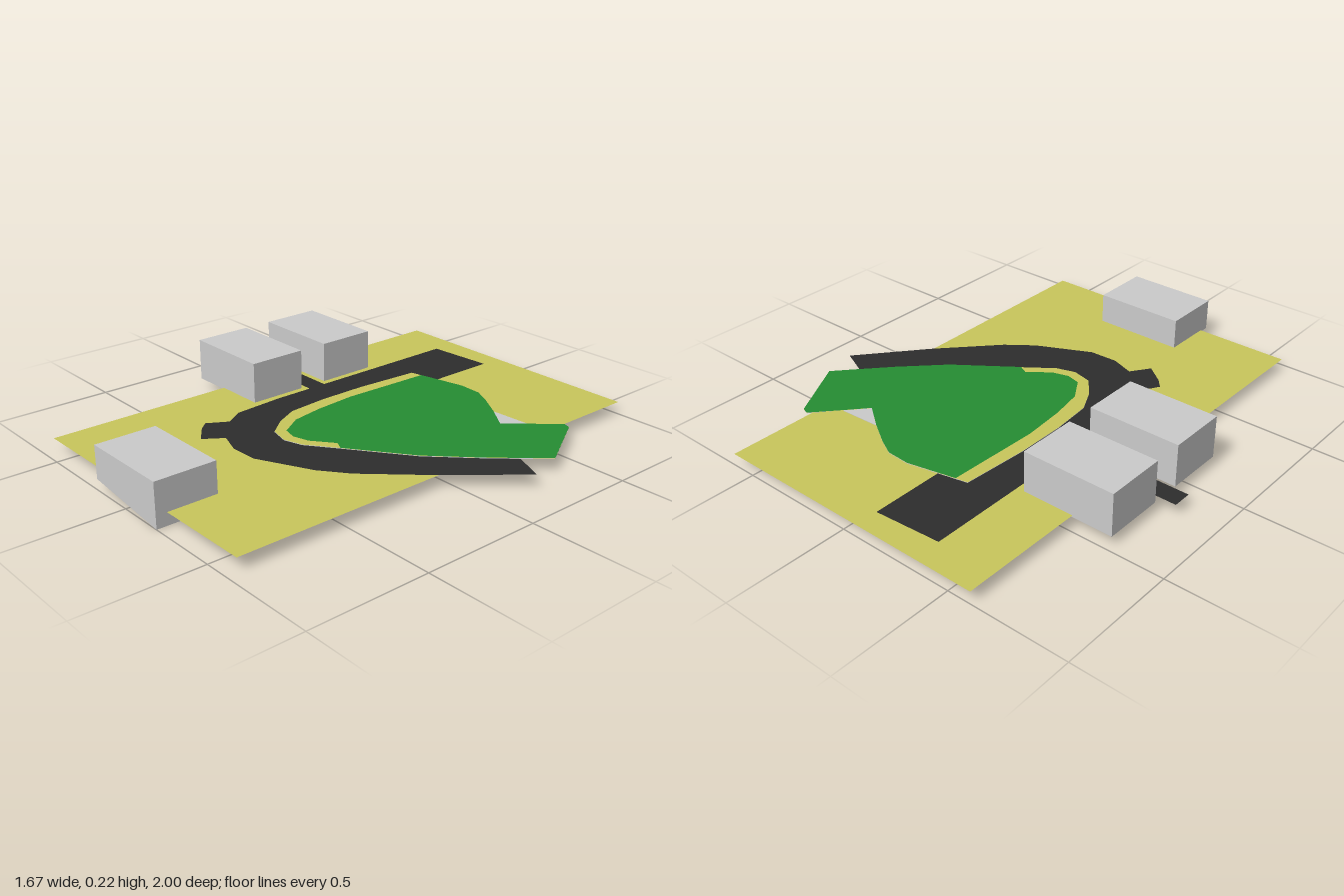
import * as THREE from 'three';

const mat = (color, side = THREE.FrontSide) =>
  new THREE.MeshStandardMaterial({ color, side, flatShading: true });

// Plan outlines are lists of [x, z]; they are laid flat facing up.
function planShape(points) {
  return new THREE.Shape(points.map(([x, z]) => new THREE.Vector2(x, -z)));
}

function addSheet(group, name, points, y, color) {
  const geometry = new THREE.ShapeGeometry(planShape(points)).rotateX(-Math.PI / 2);
  const mesh = new THREE.Mesh(geometry, mat(color, THREE.DoubleSide));
  mesh.name = name;
  mesh.position.y = y;
  group.add(mesh);
}

const rect = (x0, x1, z0, z1) => [[x0, z0], [x0, z1], [x1, z1], [x1, z0]];

// Block with a base that may slope from left end to right end.
function addBlock(group, name, x0, x1, z0, z1, baseA, baseB, top) {
  const side = new THREE.Shape([
    new THREE.Vector2(x0, baseA), new THREE.Vector2(x1, baseB),
    new THREE.Vector2(x1, top), new THREE.Vector2(x0, top),
  ]);
  const geometry = new THREE.ExtrudeGeometry(side, { depth: z1 - z0, bevelEnabled: false });
  const mesh = new THREE.Mesh(geometry, mat(0xcccccc));
  mesh.name = name;
  mesh.position.z = z0;
  group.add(mesh);
}

export function createModel() {
  const group = new THREE.Group();
  group.name = 'fieldWithBuildings';

  // Ground
  addSheet(group, 'ground', rect(-0.6, 0.6, -1, 0.955), 0.052, 0xc9c75c);

  // Road around the field and the side path
  addSheet(group, 'road', [
    [-0.35, -0.885], [-0.35, 0.05], [-0.335, 0.265], [-0.285, 0.345], [-0.335, 0.43],
    [-0.3, 0.47], [-0.22, 0.53], [-0.165, 0.45], [-0.065, 0.485], [0.055, 0.48],
    [0.28, 0.37], [0.39, 0.285], [0.605, 0.055], [0.83, -0.215], [0.705, -0.27],
    [0.6, -0.16], [0.44, 0], [0.2, 0.17], [0.08, 0.26], [0, 0.285], [-0.08, 0.265],
    [-0.14, 0.19], [-0.19, 0.09], [-0.205, -0.08], [-0.205, -0.29], [-0.185, -0.56],
    [-0.07, -0.59], [-0.07, -0.905],
  ], 0.0535, 0x2d2d2d);
  addSheet(group, 'sidePath', rect(-0.84, -0.35, -0.2, -0.12), 0.0535, 0x2d2d2d);

  // Shared stretches of the field's edge
  const backEdge = [[0.23, -0.59], [0.16, -0.625], [0.06, -0.63]];
  const rightEdge = [
    [0.2, 0.18], [0.445, 0], [0.605, -0.16], [0.705, -0.27], [0.79, -0.365],
    [0.64, -0.63], [0.61, -0.64],
  ];
  const sandEdge = [
    [-0.195, -0.575], [-0.215, -0.29], [-0.215, -0.08], [-0.2, 0.095],
    [-0.15, 0.195], [-0.085, 0.275], [0, 0.295], [0.08, 0.27],
  ];
  const notch = [[0.51, -0.53], [0.44, -0.45], [0.335, -0.525]];

  // Thin base slab under the field
  const slab = new THREE.ExtrudeGeometry(
    planShape([...sandEdge, ...rightEdge, [0.52, -0.535], [0.335, -0.525], ...backEdge]),
    { depth: 0.002, bevelEnabled: false },
  ).rotateX(-Math.PI / 2);
  const base = new THREE.Mesh(slab, mat(0xcccccc));
  base.name = 'fieldBase';
  base.position.y = 0.0545;
  group.add(base);

  // Sand border and lawn on top of it
  addSheet(group, 'sandBorder', [...sandEdge, ...rightEdge, ...notch, ...backEdge], 0.057, 0xc9c75c);
  addSheet(group, 'lawn', [
    [-0.145, -0.585], [-0.16, -0.185], [-0.145, 0], [-0.12, 0.14], [-0.06, 0.235],
    [0, 0.25], [0.07, 0.23], [0.16, 0.16], ...rightEdge, ...notch, ...backEdge,
  ], 0.058, 0x268d33);

  // Buildings
  addBlock(group, 'sideBuildingBack', -0.77, -0.38, -0.48, -0.225, 0.045, 0.045, 0.223);
  addBlock(group, 'sideBuildingFront', -0.77, -0.38, -0.1, 0.15, 0.045, 0.045, 0.223);
  addBlock(group, 'frontBuilding', -0.19, 0.2, 0.745, 1, 0.045, 0, 0.181);

  return group;
}
